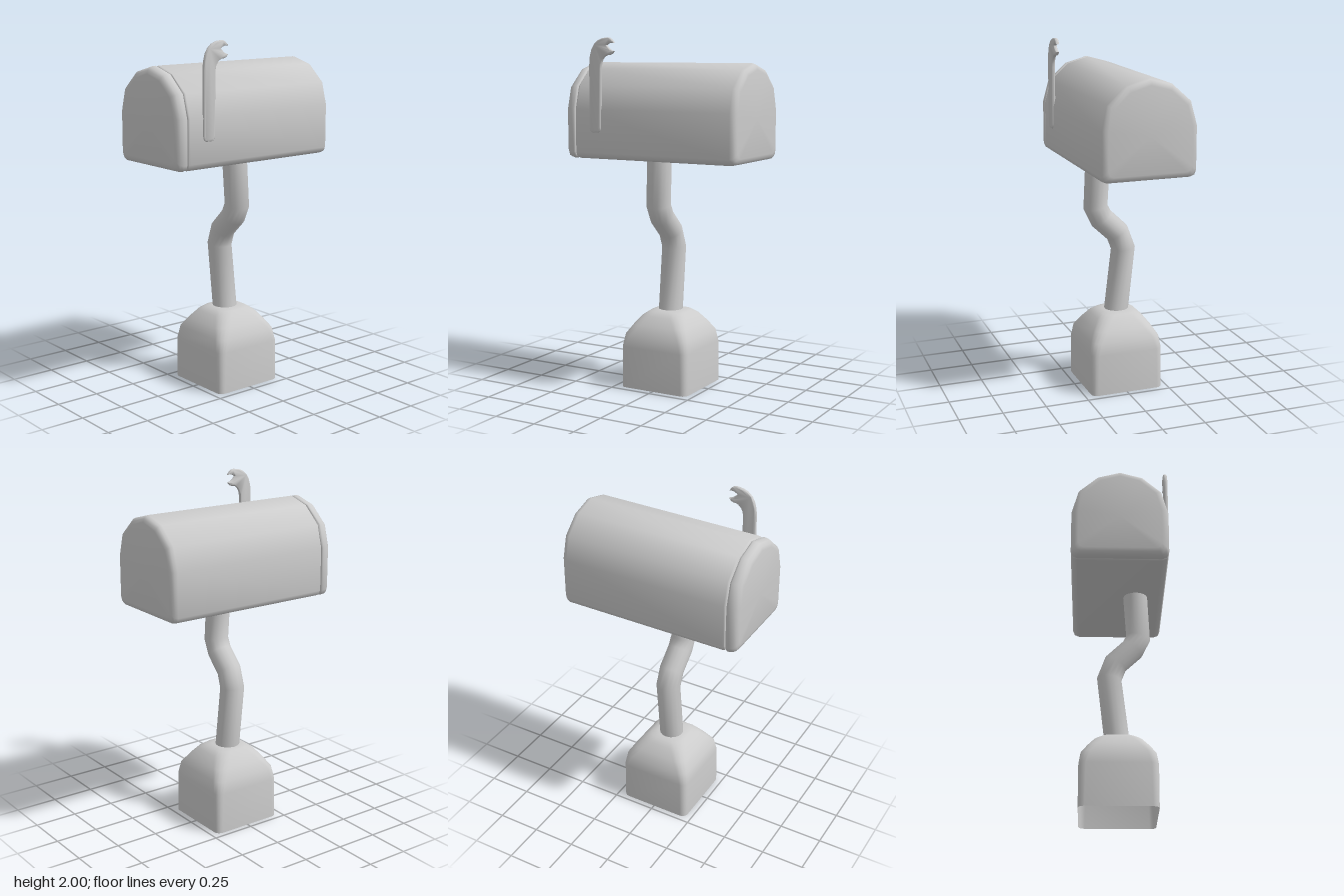
import * as THREE from 'three';
import { toCreasedNormals } from 'three/addons/utils/BufferGeometryUtils.js';

const grey = new THREE.MeshStandardMaterial({ color: 0xcccccc });
const greyDouble = new THREE.MeshStandardMaterial({ color: 0xcccccc, side: THREE.DoubleSide });

// Skin a list of closed rings (counter-clockwise about the travel direction), with optional end caps.
function loft(rings, capStart, capEnd, crease = 0.9) {
  const n = rings[0].length, pos = [], index = [];
  rings.forEach(ring => ring.forEach(p => pos.push(p.x, p.y, p.z)));
  for (let i = 0; i < rings.length - 1; i++) {
    for (let j = 0; j < n; j++) {
      const a = i * n + j, b = i * n + (j + 1) % n;
      index.push(a, b, b + n, a, b + n, a + n);
    }
  }
  const cap = (i, flip) => {
    const c = new THREE.Vector3();
    rings[i].forEach(p => c.addScaledVector(p, 1 / n));
    const centre = pos.length / 3;
    pos.push(c.x, c.y, c.z);
    for (let j = 0; j < n; j++) {
      const a = i * n + j, b = i * n + (j + 1) % n;
      index.push(centre, flip ? b : a, flip ? a : b);
    }
  };
  if (capStart) cap(0, true);
  if (capEnd) cap(rings.length - 1, false);
  const g = new THREE.BufferGeometry();
  g.setAttribute('position', new THREE.Float32BufferAttribute(pos, 3));
  g.setIndex(index);
  return toCreasedNormals(g, crease);
}

// Arched mailbox outline, inset by d, at a given x.
const half = [[0.127, 0.235], [0.234, 0.14], [0.27, 0.01], [0.27, -0.235], [0.26, -0.26], [0.235, -0.27]];
const outline = [[0, 0.27], ...half, ...half.map(([z, y]) => [-z, y]).reverse()];
function archRing(x, d) {
  const s = 1 - d / 0.27;
  return outline.map(([z, y]) => new THREE.Vector3(x, 1.59 + y * s, -0.005 + z * s));
}

// Arched block from x0 to x1 with rounded ends of radius r0 and r1.
function archBlock(x0, x1, r0, r1) {
  const rings = [], steps = 3;
  for (let i = 0; i <= steps; i++) {
    const a = (i / steps) * Math.PI / 2;
    rings.push(archRing(x0 + r0 * (1 - Math.sin(a)), r0 * (1 - Math.cos(a))));
  }
  rings.reverse();
  rings.sort((p, q) => p[0].x - q[0].x);
  for (let i = steps; i >= 0; i--) {
    const a = (i / steps) * Math.PI / 2;
    rings.push(archRing(x1 - r1 * (1 - Math.cos(Math.PI / 2 - a)), r1 * (1 - Math.sin(Math.PI / 2 - a))));
  }
  // Order each rounded end from its small face to its full outline.
  const start = [], end = [];
  for (let i = 0; i <= steps; i++) {
    const a = (i / steps) * Math.PI / 2;
    start.push(archRing(x0 + r0 * (1 - Math.cos(a)), r0 * (1 - Math.sin(a))));
    end.unshift(archRing(x1 - r1 * (1 - Math.cos(a)), r1 * (1 - Math.sin(a))));
  }
  return loft([...start, ...end], true, true);
}

// Rounded square with half width h and corner radius r.
function squareRing(y, h, r) {
  const ring = [], n = 4;
  for (let k = 0; k < 4; k++) {
    const mid = (k + 0.5) * Math.PI / 2;
    for (let i = 0; i <= n; i++) {
      const a = (k + i / n) * Math.PI / 2;
      ring.push(new THREE.Vector3(
        Math.sign(Math.sin(mid)) * (h - r) + r * Math.sin(a), y,
        -0.005 + Math.sign(Math.cos(mid)) * (h - r) + r * Math.cos(a)));
    }
  }
  return ring;
}

// Bent post with mitred joints, bending in the y-z plane.
function postGeometry() {
  const path = [[-0.005, 0.4, -0.007], [-0.008, 0.805, -0.055], [-0.011, 0.9, -0.02],
    [-0.013, 0.99, 0.075], [-0.015, 1.06, 0.11], [-0.02, 1.35, 0.093]].map(p => new THREE.Vector3(...p));
  const sides = 16, radius = 0.07;
  const rings = path.map((p, i) => {
    const dIn = p.clone().sub(path[Math.max(i - 1, 0)]).normalize();
    const dOut = path[Math.min(i + 1, path.length - 1)].clone().sub(p).normalize();
    const t = dIn.add(dOut).setX(0).normalize();
    return Array.from({ length: sides }, (_, j) => {
      const a = j / sides * Math.PI * 2, c = radius * Math.cos(a);
      return new THREE.Vector3(p.x + radius * Math.sin(a), p.y - t.z * c, p.z + t.y * c);
    });
  });
  return loft(rings, true, true, 1.1);
}

// Thin signal flag with a curled, notched tip.
function flagGeometry() {
  const s = new THREE.Shape();
  s.moveTo(-0.375, 1.5);
  s.lineTo(-0.372, 1.85);
  s.bezierCurveTo(-0.37, 1.95, -0.33, 2.0, -0.25, 2.0);
  s.quadraticCurveTo(-0.222, 2.0, -0.207, 1.968);
  s.quadraticCurveTo(-0.232, 1.975, -0.255, 1.957);
  s.quadraticCurveTo(-0.235, 1.93, -0.207, 1.925);
  s.quadraticCurveTo(-0.22, 1.9, -0.25, 1.902);
  s.quadraticCurveTo(-0.292, 1.89, -0.293, 1.83);
  s.lineTo(-0.297, 1.5);
  s.quadraticCurveTo(-0.3, 1.47, -0.325, 1.47);
  s.lineTo(-0.347, 1.47);
  s.quadraticCurveTo(-0.372, 1.47, -0.375, 1.5);
  const g = new THREE.ExtrudeGeometry(s, {
    depth: 0.004, bevelThickness: 0.009, bevelSize: 0.009, bevelOffset: -0.009, bevelSegments: 3, curveSegments: 6,
  });
  g.translate(0, 0, 0.26);
  return toCreasedNormals(g, 1.0);
}

export function createModel() {
  const model = new THREE.Group();
  model.name = 'mailbox';
  const add = (name, geometry, material = grey) => {
    const mesh = new THREE.Mesh(geometry, material);
    mesh.name = name;
    model.add(mesh);
  };

  // Box and its door, separated by a narrow groove
  add('boxBody', archBlock(-0.473, 0.54, 0.012, 0.035));
  add('boxDoor', archBlock(-0.54, -0.473, 0.04, 0.012));

  // Flag on the front side
  add('signalFlag', flagGeometry());

  // Crooked post
  add('post', postGeometry());

  // Hollow base, open underneath
  const baseRings = [[0, 0.215, 0.035], [0.24, 0.215, 0.04], [0.31, 0.205, 0.05], [0.365, 0.172, 0.06],
    [0.415, 0.135, 0.065], [0.438, 0.105, 0.065], [0.445, 0.075, 0.06]];
  add('base', loft(baseRings.map(r => squareRing(...r)), false, true), greyDouble);
  return model;
}
